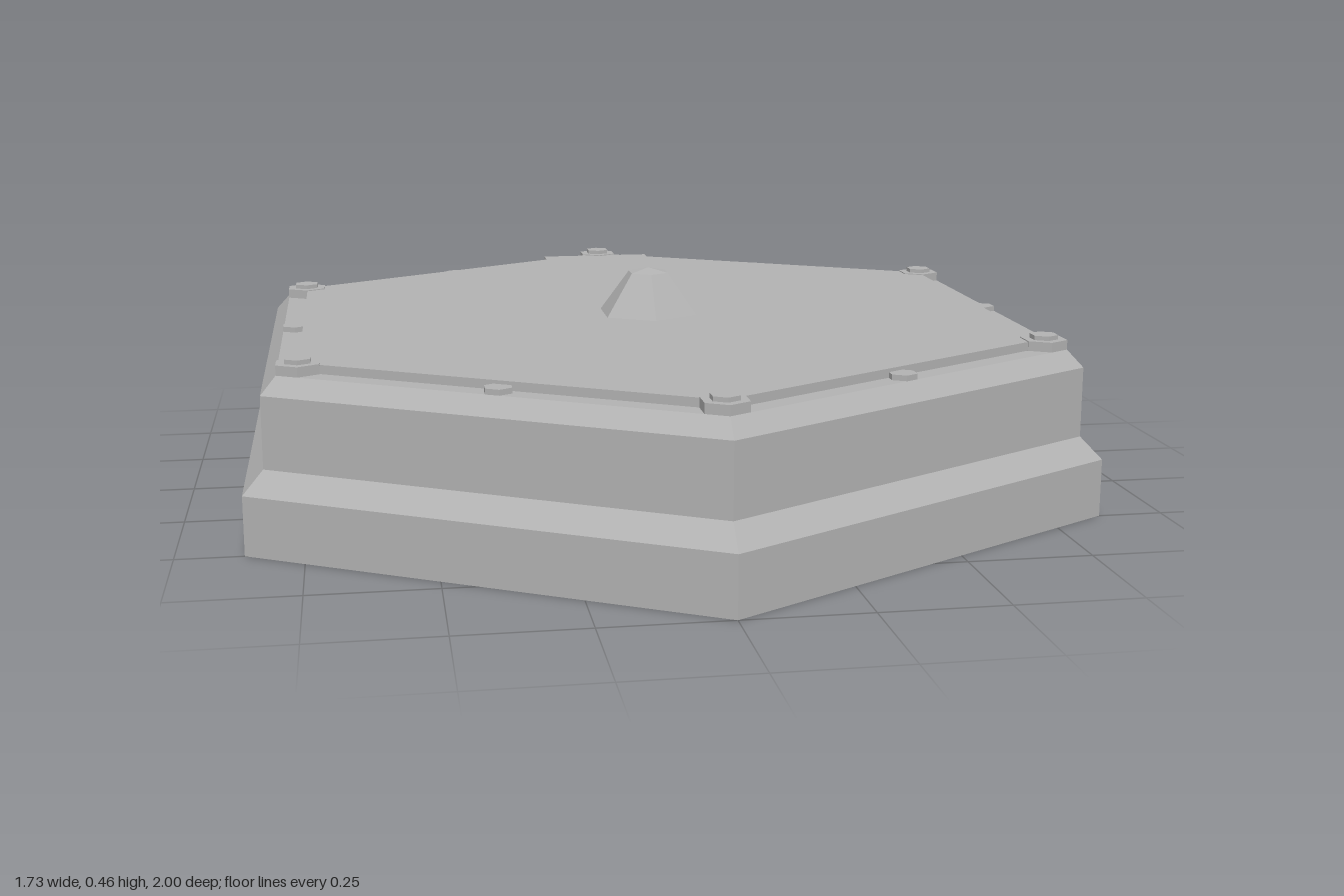
import * as THREE from 'three';

export function createModel() {
  const model = new THREE.Group();
  const grey = new THREE.MeshStandardMaterial({ color: 0xb2b2b2, flatShading: true });
  grey.name = 'stone grey';

  const add = (name, geometry, x = 0, y = 0, z = 0) => {
    const mesh = new THREE.Mesh(geometry, grey);
    mesh.name = name;
    mesh.position.set(x, y, z);
    model.add(mesh);
    return mesh;
  };

  // Six-sided solid from [radius, height] pairs, with corners on the z axis
  const hexSolid = (profile) =>
    new THREE.LatheGeometry(profile.map(([r, y]) => new THREE.Vector2(r, y)), 6);

  // Stepped base with a bevelled shoulder
  add('base', hexSolid([
    [0, 0], [1, 0], [1, 0.12], [0.953, 0.165], [0.953, 0.31], [0.918, 0.345], [0, 0.345],
  ]));

  // Raised lid
  add('topPanel', hexSolid([[0.868, 0.335], [0.868, 0.363], [0, 0.363]]));

  // Central knob
  add('knob', hexSolid([[0.116, 0.36], [0.046, 0.453], [0, 0.463]]));

  // Corner bolts and small studs midway along each edge
  for (let i = 0; i < 6; i++) {
    const a = (i * Math.PI) / 3;
    const x = Math.sin(a), z = Math.cos(a);
    add('cornerBolt', hexSolid([
      [0, 0.333], [0.048, 0.333], [0.048, 0.365], [0.029, 0.365], [0.029, 0.374], [0, 0.374],
    ]), x * 0.87, 0, z * 0.87);

    const b = a + Math.PI / 6;
    add('edgeStud', hexSolid([
      [0, 0.342], [0.029, 0.342], [0.029, 0.356], [0, 0.356],
    ]), Math.sin(b) * 0.77, 0, Math.cos(b) * 0.77);
  }

  // Latch bracket straddling the rear corner: an arch with two legs
  const arch = new THREE.Shape([
    [-0.136, 0.21], [-0.07, 0.21], [-0.07, 0.26], [0.07, 0.26],
    [0.07, 0.21], [0.136, 0.21], [0.136, 0.35], [-0.136, 0.35],
  ].map(([x, y]) => new THREE.Vector2(x, y)));
  add('rearBracket', new THREE.ExtrudeGeometry(arch, { depth: 0.13, bevelEnabled: false }), 0, 0, -0.92);

  // Catch on the bracket
  add('rearCatch', new THREE.BoxGeometry(0.14, 0.05, 0.04), 0, 0.285, -0.918);

  return model;
}
